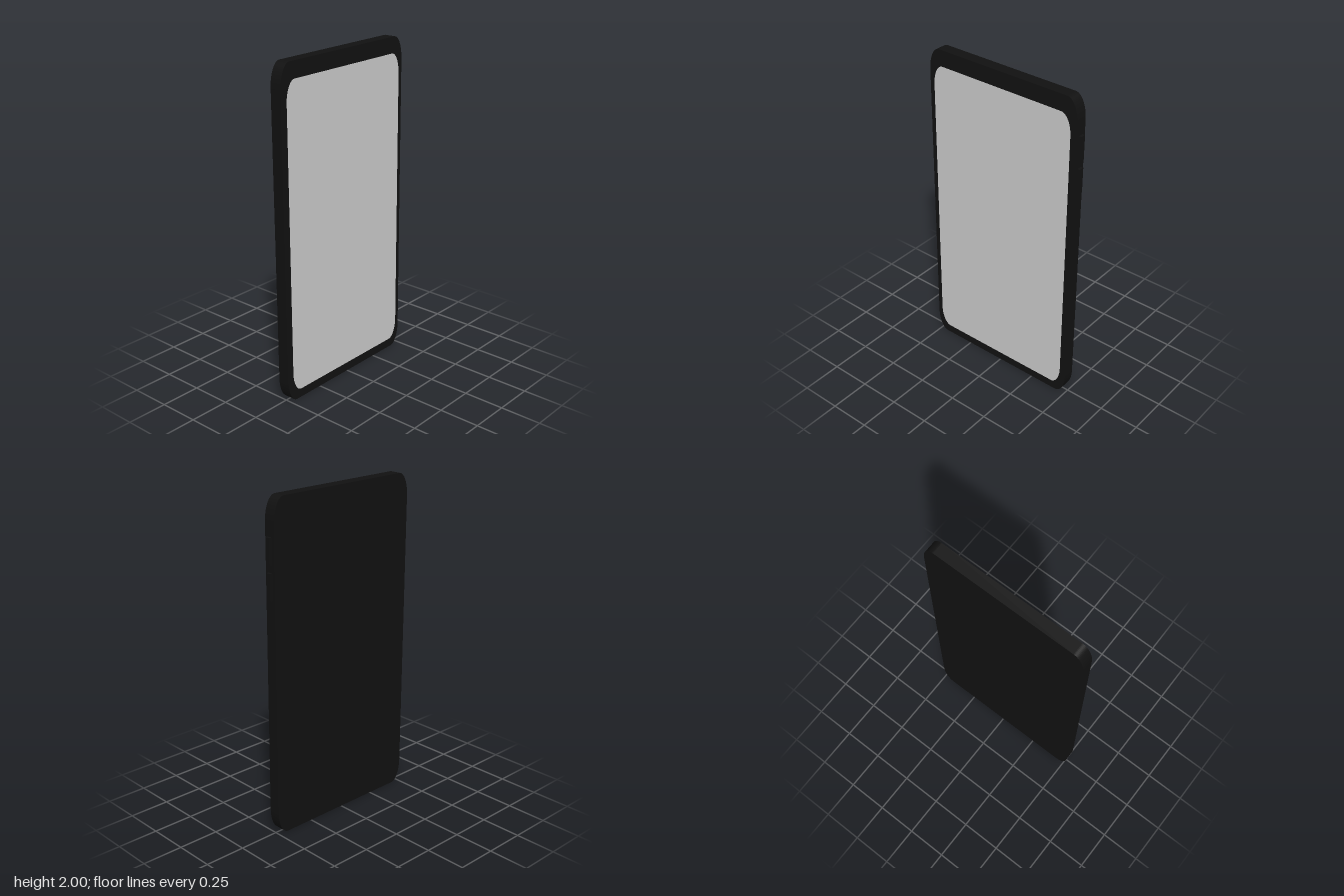
import * as THREE from 'three';

// Rectangle with elliptical corners, centred on the origin
function roundedShape(w, h, rx, ry) {
  const a = w / 2, b = h / 2, s = new THREE.Shape();
  s.moveTo(a, b - ry);
  s.absellipse(a - rx, b - ry, rx, ry, 0, Math.PI / 2);
  s.absellipse(-a + rx, b - ry, rx, ry, Math.PI / 2, Math.PI);
  s.absellipse(-a + rx, -b + ry, rx, ry, Math.PI, Math.PI * 1.5);
  s.absellipse(a - rx, -b + ry, rx, ry, Math.PI * 1.5, Math.PI * 2);
  return s;
}

export function createModel() {
  const model = new THREE.Group();
  model.name = 'phone';

  const black = new THREE.MeshStandardMaterial({ color: 0x111111 });
  const grey = new THREE.MeshStandardMaterial({ color: 0xcccccc, side: THREE.DoubleSide });

  // Everything leans back slightly, pivoting at mid height
  const leaning = new THREE.Group();
  leaning.name = 'leaningPhone';
  leaning.position.set(-0.004, 1, 0.008);
  leaning.rotation.z = 0.0075;
  model.add(leaning);

  const add = (name, geometry, material, x, y, z) => {
    const mesh = new THREE.Mesh(geometry, material);
    mesh.name = name;
    mesh.position.set(x, y, z);
    leaning.add(mesh);
  };

  // Slab body, extruded along x
  const depth = 0.0725;
  const body = new THREE.ExtrudeGeometry(roundedShape(1.02, 1.9995, 0.07, 0.14),
    { depth, bevelEnabled: false, curveSegments: 10 });
  body.translate(0, 0, -depth / 2).rotateY(Math.PI / 2);
  add('body', body, black, 0, 0, 0);

  // Thin display sheet just in front of the body
  const screen = new THREE.ShapeGeometry(roundedShape(0.95, 1.845, 0.065, 0.125), 10);
  screen.rotateY(Math.PI / 2);
  add('screen', screen, grey, 0.0435, -0.0175, 0);

  // Side buttons
  [['upperButton', 1.705], ['lowerButton', 1.508]].forEach(([name, y]) =>
    add(name, new THREE.BoxGeometry(0.031, 0.153, 0.03), black, 0, y - 1, -0.511));

  return model;
}
